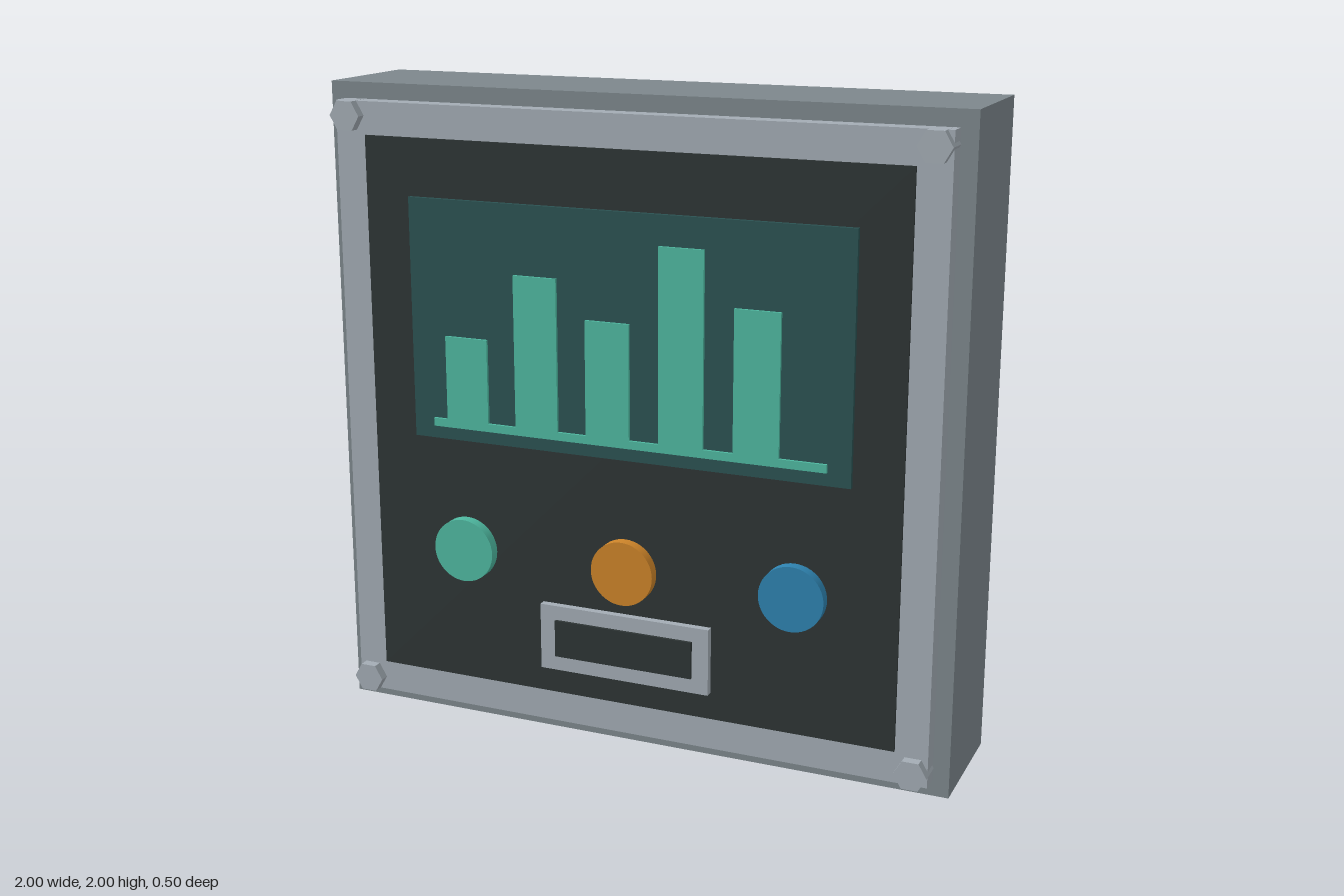
import * as THREE from 'three';

const mat = (name, color) => {
  const m = new THREE.MeshStandardMaterial({ color });
  m.name = name;
  return m;
};

export function createModel() {
  const grey = mat('housing grey', 0x7d878c);
  const silver = mat('light metal', 0xa3acb4);
  const dark = mat('dark panel', 0x2d3434);
  const teal = mat('screen teal', 0x2a5252);
  const mint = mat('mint', 0x4eb8a0);
  const orange = mat('orange', 0xcd8429);
  const blue = mat('blue', 0x2e82af);

  const group = new THREE.Group();
  group.name = 'controlPanel';

  const add = (name, geometry, material) => {
    const mesh = new THREE.Mesh(geometry, material);
    mesh.name = name;
    group.add(mesh);
    return mesh;
  };
  // Box given by its limits on each axis
  const box = (name, material, x0, x1, y0, y1, z0, z1) =>
    add(name, new THREE.BoxGeometry(x1 - x0, y1 - y0, z1 - z0), material)
      .position.set((x0 + x1) / 2, (y0 + y1) / 2, (z0 + z1) / 2);
  // Disc or prism whose axis points to the front
  const disc = (name, material, x, y, z0, z1, radius, sides) => {
    const geometry = new THREE.CylinderGeometry(radius, radius, z1 - z0, sides);
    if (sides === 6) geometry.rotateY(Math.PI / 6);
    geometry.rotateX(Math.PI / 2);
    if (sides === 6) geometry.rotateZ(Math.PI / 3);
    const mesh = add(name, sides === 6 ? geometry.toNonIndexed() : geometry, material);
    if (sides === 6) mesh.geometry.computeVertexNormals();
    mesh.position.set(x, y, (z0 + z1) / 2);
  };

  // Housing, bezel and face
  box('housing', grey, -1, 1, 0, 2, -0.25, 0.15);
  box('bezel', silver, -0.95, 0.95, 0.05, 1.95, 0.15, 0.21);
  box('facePanel', dark, -0.85, 0.85, 0.15, 1.85, 0.2, 0.216);

  // Screen with bar chart
  box('screen', teal, -0.7, 0.7, 0.935, 1.675, 0.21, 0.23);
  box('chartBaseline', mint, -0.63, 0.63, 0.975, 1.0, 0.23, 0.239);
  [1.26, 1.465, 1.35, 1.585, 1.425].forEach((top, i) => {
    const x = -0.513 + i * 0.2325;
    box('chartBar', mint, x - 0.07, x + 0.07, 1.0, top, 0.23, 0.239);
  });

  // Round buttons
  [mint, orange, blue].forEach((m, i) =>
    disc('button', m, (i - 1) * 0.535, 0.585, 0.21, 0.25, 0.1, 48));

  // Slot plate with dark inset
  box('slotPlate', silver, -0.277, 0.277, 0.235, 0.445, 0.21, 0.239);
  box('slotInset', dark, -0.225, 0.225, 0.283, 0.4, 0.239, 0.248);

  // Hexagonal corner bolts
  for (const x of [-0.905, 0.905])
    for (const y of [0.093, 1.907]) disc('cornerBolt', silver, x, y, 0.16, 0.24, 0.05, 6);

  return group;
}
